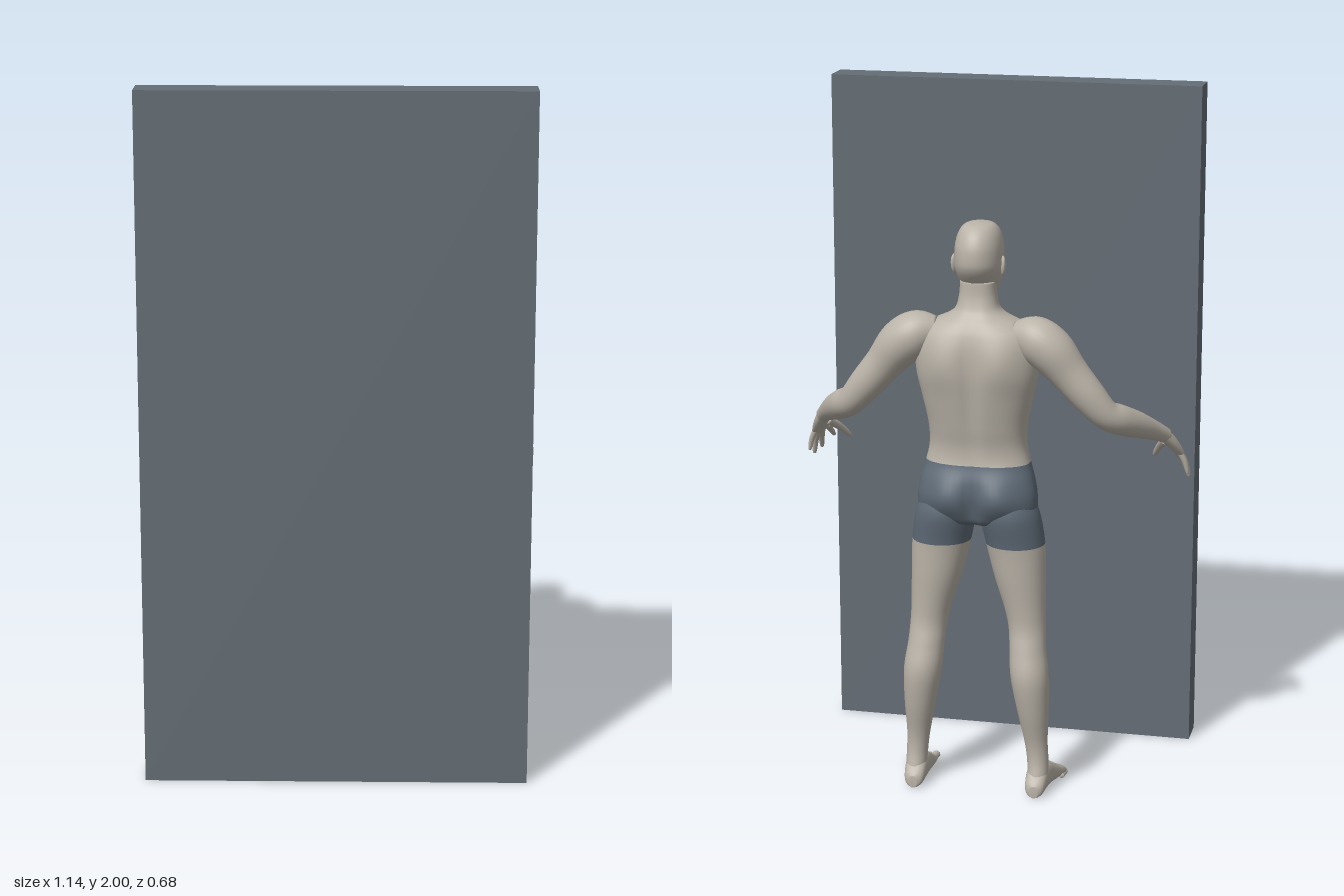
import * as THREE from 'three';

const skin = new THREE.MeshStandardMaterial({ name: 'skin', color: 0xbab3a8 });
const cloth = new THREE.MeshStandardMaterial({ name: 'shortsCloth', color: 0x5f6b77 });
const slate = new THREE.MeshStandardMaterial({ name: 'slabGrey', color: 0x646d75 });

const STEPS = 6;
const catmull = (a, b, c, d, t) =>
  0.5 * (2 * b + (c - a) * t + (2 * a - 5 * b + 4 * c - d) * t * t + (3 * b - a - 3 * c + d) * t * t * t);
const X = new THREE.Vector3(1, 0, 0), Y = new THREE.Vector3(0, 1, 0), Z = new THREE.Vector3(0, 0, 1);

// Smooth closed loft through sections [x, y, z, ru, rv].
// Either a fixed frame {u, v} or a reference vector {ref} turns the rings;
// {split} is the section where the second material begins.
function loft(sections, { u, v, ref, power = 1, seg = 24, shape, split } = {}) {
  const rows = [], n = sections.length;
  for (let i = 0; i < n - 1; i++) {
    const s = [-1, 0, 1, 2].map(k => sections[Math.min(n - 1, Math.max(0, i + k))]);
    for (let k = 0; k < STEPS; k++) rows.push(s[0].map((_, c) => catmull(s[0][c], s[1][c], s[2][c], s[3][c], k / STEPS)));
  }
  rows.push(sections[n - 1]);
  const centres = rows.map(r => new THREE.Vector3(r[0], r[1], r[2]));
  const pos = [], index = [];
  const soft = a => Math.sign(a) * Math.abs(a) ** power;
  rows.forEach((r, i) => {
    let a = u, b = v;
    if (ref) {
      const t = centres[Math.min(i + 1, rows.length - 1)].clone().sub(centres[Math.max(i - 1, 0)]).normalize();
      a = ref.clone().cross(t).normalize();
      b = t.clone().cross(a);
    }
    for (let j = 0; j < seg; j++) {
      const th = j / seg * Math.PI * 2;
      const p = centres[i].clone()
        .addScaledVector(a, Math.max(0.001, r[3]) * soft(Math.cos(th)))
        .addScaledVector(b, Math.max(0.001, r[4]) * soft(Math.sin(th)));
      if (shape) shape(p);
      pos.push(p.x, p.y, p.z);
    }
  });
  const last = rows.length - 1, cap0 = pos.length / 3;
  pos.push(...centres[0].toArray(), ...centres[last].toArray());
  for (let j = 0; j < seg; j++) index.push(cap0, (j + 1) % seg, j);
  for (let i = 0; i < last; i++) for (let j = 0; j < seg; j++) {
    const a = i * seg + j, b = i * seg + (j + 1) % seg;
    index.push(a, b, a + seg, b, b + seg, a + seg);
  }
  for (let j = 0; j < seg; j++) index.push(cap0 + 1, last * seg + j, last * seg + (j + 1) % seg);
  const g = new THREE.BufferGeometry();
  g.setAttribute('position', new THREE.Float32BufferAttribute(pos, 3));
  g.setIndex(index);
  g.computeVertexNormals();
  if (split) {
    const cut = seg * 3 + split * STEPS * seg * 6;
    g.addGroup(0, cut, 0);
    g.addGroup(cut, index.length - cut, 1);
  }
  return g;
}

// Horizontal section from x centre, height, front z, back z and half width
const slice = (x, y, front, back, w) => [x, y, (front + back) / 2, w, (front - back) / 2];
const bump = (x, y, x0, y0, sx, sy) => Math.exp(-(((x - x0) / sx) ** 2) - ((y - y0) / sy) ** 2);

function mirrored(geo) {
  const g = geo.clone().scale(-1, 1, 1), ix = g.index.array;
  for (let i = 0; i < ix.length; i += 3) [ix[i], ix[i + 1]] = [ix[i + 1], ix[i]];
  g.computeVertexNormals();
  return g;
}

export function createModel() {
  const model = new THREE.Group();
  model.name = 'figureBehindSlab';
  const add = (name, geo, mat = skin) => {
    const m = new THREE.Mesh(geo, mat);
    m.name = name;
    model.add(m);
    return m;
  };
  const pair = (name, geo, mat) => {
    add('left' + name, geo, mat);
    add('right' + name, mirrored(geo), mat);
  };

  // Standing slab
  add('slab', new THREE.BoxGeometry(1.1, 2, 0.1), slate).position.set(0, 1, 0.295);

  // Head with brow, eye sockets, nose, lips and chin
  const head = [
    [1.673, -0.19, -0.22, 0.012], [1.666, -0.152, -0.255, 0.04], [1.645, -0.125, -0.28, 0.057],
    [1.61, -0.11, -0.297, 0.066], [1.57, -0.108, -0.3, 0.068], [1.545, -0.11, -0.293, 0.067],
    [1.52, -0.109, -0.275, 0.062], [1.495, -0.109, -0.25, 0.054], [1.475, -0.111, -0.225, 0.045],
    [1.462, -0.12, -0.2, 0.03], [1.457, -0.14, -0.18, 0.012],
  ].map(([y, f, b, w]) => slice(0, y, f, b, w));
  add('head', loft(head, {
    u: X, v: Z, seg: 64, power: 0.95, shape: p => {
      if (p.z < -0.19) return;
      const x = Math.abs(p.x);
      p.z += 0.019 * bump(x, p.y, 0, 1.532, 0.012, 0.013) + 0.009 * bump(x, p.y, 0, 1.553, 0.009, 0.02)
        + 0.004 * bump(x, p.y, 0.022, 1.582, 0.022, 0.008) - 0.009 * bump(x, p.y, 0.028, 1.563, 0.013, 0.009)
        + 0.006 * bump(x, p.y, 0, 1.503, 0.019, 0.008) + 0.005 * bump(x, p.y, 0, 1.473, 0.018, 0.009);
    },
  }));
  const ear = new THREE.SphereGeometry(1, 16, 12).scale(0.008, 0.029, 0.016);
  ear.rotateX(-0.15).rotateY(-0.35).translate(0.069, 1.552, -0.212);
  pair('Ear', ear);

  // Neck, trunk and the seat of the shorts
  const trunk = [
    [1.51, -0.175, -0.265, 0.05], [1.47, -0.168, -0.268, 0.053], [1.435, -0.165, -0.278, 0.062],
    [1.415, -0.16, -0.29, 0.085], [1.395, -0.152, -0.305, 0.128], [1.365, -0.142, -0.32, 0.165],
    [1.32, -0.132, -0.33, 0.176], [1.25, -0.126, -0.333, 0.173], [1.18, -0.127, -0.325, 0.158],
    [1.1, -0.132, -0.31, 0.142], [1.04, -0.136, -0.298, 0.14], [0.99, -0.136, -0.3, 0.15],
    [0.94, -0.134, -0.315, 0.164], [0.89, -0.136, -0.32, 0.172], [0.845, -0.142, -0.31, 0.165],
    [0.815, -0.16, -0.29, 0.11], [0.8, -0.2, -0.24, 0.03],
  ].map(([y, f, b, w]) => slice(0, y, f, b, w));
  add('trunkAndShorts', loft(trunk, {
    u: X, v: Z, seg: 64, power: 0.85, split: 11, shape: p => {
      const x = Math.abs(p.x);
      if (p.z > -0.22) p.z += 0.008 * bump(x, p.y, 0.075, 1.28, 0.05, 0.05) - 0.006 * bump(x, p.y, 0, 1.27, 0.02, 0.08)
        + 0.006 * bump(x, p.y, 0, 0.88, 0.04, 0.045);
      else p.z += 0.014 * bump(x, p.y, 0, 1.22, 0.022, 0.16) - 0.012 * bump(x, p.y, 0.085, 1.29, 0.05, 0.07)
        - 0.018 * bump(x, p.y, 0.075, 0.895, 0.05, 0.055) + 0.022 * bump(x, p.y, 0, 0.87, 0.018, 0.065);
    },
  }), [skin, cloth]);

  // Legs, clothed down to mid thigh
  const leg = [
    [0.085, 0.9, -0.15, -0.3, 0.07], [0.093, 0.84, -0.14, -0.315, 0.086], [0.108, 0.75, -0.138, -0.3, 0.085],
    [0.122, 0.65, -0.148, -0.292, 0.074], [0.137, 0.56, -0.162, -0.284, 0.06], [0.145, 0.5, -0.173, -0.284, 0.054],
    [0.15, 0.44, -0.187, -0.298, 0.053], [0.158, 0.36, -0.198, -0.315, 0.055], [0.167, 0.26, -0.205, -0.302, 0.046],
    [0.175, 0.16, -0.21, -0.278, 0.034], [0.18, 0.1, -0.207, -0.275, 0.031], [0.182, 0.05, -0.21, -0.285, 0.03],
    [0.182, 0.025, -0.22, -0.28, 0.025],
  ].map(r => slice(...r));
  pair('Leg', loft(leg, { u: X, v: Z, seg: 32, split: 2 }), [cloth, skin]);

  // Feet and toes
  const foot = [
    [0.18, -0.303, 0.012, 0.035], [0.18, -0.29, 0.027, 0.052], [0.181, -0.25, 0.033, 0.085],
    [0.184, -0.2, 0.036, 0.082], [0.191, -0.15, 0.042, 0.054], [0.196, -0.115, 0.044, 0.036],
    [0.197, -0.092, 0.038, 0.022],
  ].map(([x, z, w, top]) => [x, top / 2 + 0.001, z, w, top / 2]);
  pair('Foot', loft(foot, { u: X, v: Y, power: 0.85 }));
  [[0.167, -0.058, 0.012], [0.187, -0.057, 0.009], [0.204, -0.064, 0.0085], [0.22, -0.076, 0.008], [0.234, -0.09, 0.0075]]
    .forEach(([x, z, r], i) => pair('Toe' + (i + 1), loft([
      [x - 0.002, r + 0.004, z - 0.055, r, r], [x, r + 0.001, z - 0.025, r * 0.9, r * 0.9],
      [x, r, z - 0.009, r, r * 0.95], [x, r, z - 0.002, r * 0.65, r * 0.6], [x, r, z, 0.001, 0.001],
    ], { u: X, v: Y, seg: 12 })));

  // Arms, held out and bent forward
  const arm = [
    [0.11, 1.365, -0.245, 0.04], [0.165, 1.358, -0.25, 0.064], [0.215, 1.325, -0.252, 0.066],
    [0.265, 1.265, -0.248, 0.055], [0.32, 1.2, -0.244, 0.049], [0.365, 1.148, -0.232, 0.042],
    [0.4, 1.125, -0.2, 0.043], [0.44, 1.098, -0.145, 0.038], [0.48, 1.067, -0.085, 0.028],
    [0.507, 1.043, -0.045, 0.022],
  ].map(([x, y, z, r]) => [x, y, z, r, r]);
  pair('Arm', loft(arm, { ref: new THREE.Vector3(1, 1, 0), seg: 32 }));

  // Hands with spread fingers
  const palmNormal = new THREE.Vector3(0.7, 0.67, 0.27);
  pair('Palm', loft([
    [0.503, 1.048, -0.052, 0.022, 0.018], [0.518, 1.02, -0.02, 0.03, 0.018],
    [0.531, 0.99, 0.014, 0.034, 0.014], [0.538, 0.975, 0.03, 0.027, 0.008],
  ], { ref: palmNormal }));
  const fingers = {
    Thumb: [[0.503, 1.022, -0.02, 0.013], [0.48, 0.99, 0.028, 0.011], [0.46, 0.955, 0.065, 0.007]],
    IndexFinger: [[0.519, 0.995, 0.03, 0.011], [0.521, 0.97, 0.068, 0.0095], [0.519, 0.944, 0.102, 0.006]],
    MiddleFinger: [[0.532, 0.985, 0.022, 0.011], [0.543, 0.95, 0.053, 0.0095], [0.549, 0.913, 0.077, 0.006]],
    RingFinger: [[0.54, 0.982, 0.01, 0.01], [0.555, 0.942, 0.032, 0.009], [0.563, 0.902, 0.045, 0.006]],
    LittleFinger: [[0.541, 0.988, -0.006, 0.009], [0.557, 0.955, 0, 0.008], [0.565, 0.922, 0.004, 0.005]],
  };
  for (const [name, joints] of Object.entries(fingers)) {
    const [, b, c] = joints;
    const tip = c.slice(0, 3).map((k, i) => k + (k - b[i]) * 0.1);
    const path = [...joints, [...tip, 0.001]].map(([x, y, z, r]) => [x, y, z, r, r]);
    pair(name, loft(path, { ref: palmNormal, seg: 12 }));
  }
  return model;
}
